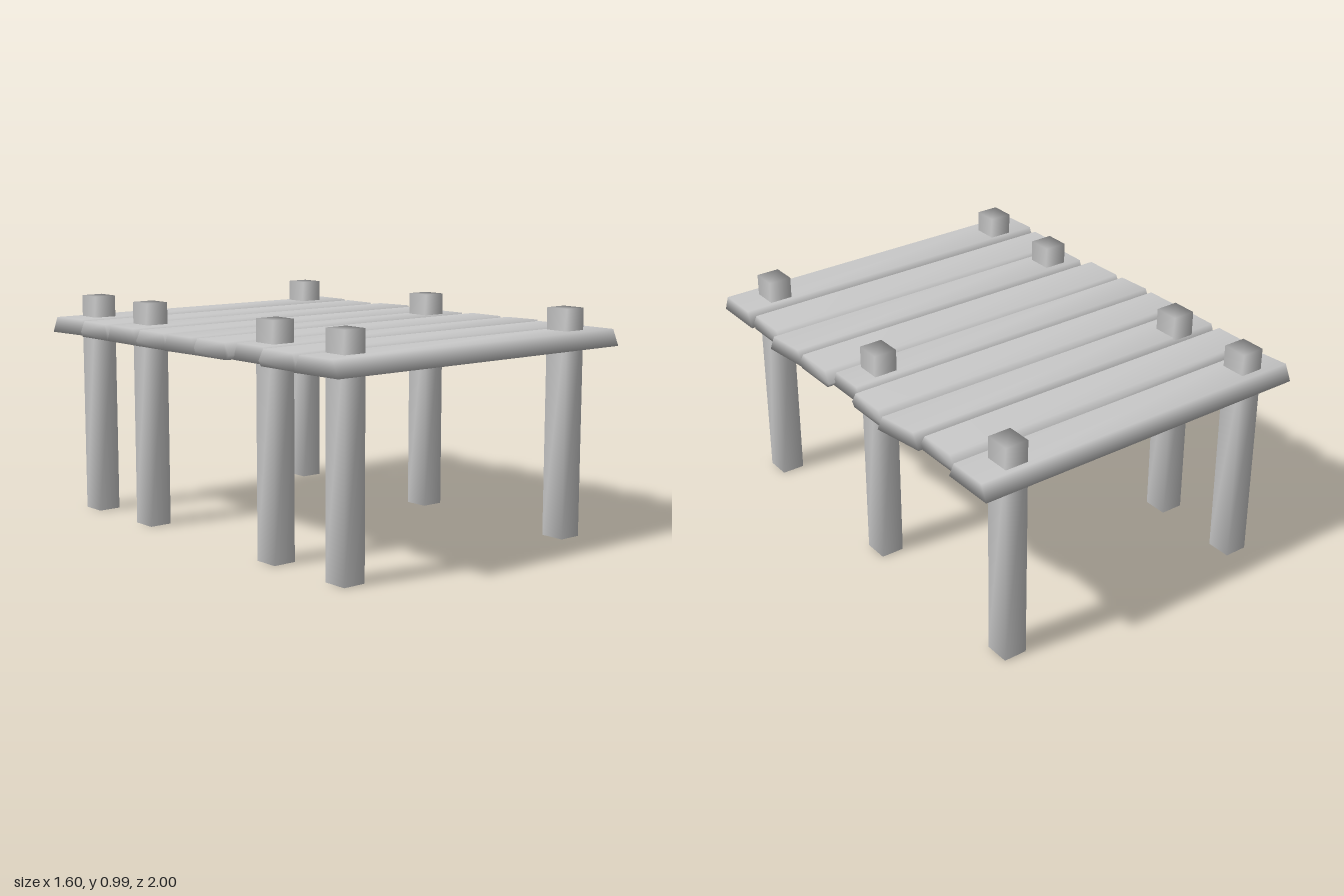
import * as THREE from 'three';
import { mergeVertices } from 'three/addons/utils/BufferGeometryUtils.js';

const material = new THREE.MeshStandardMaterial({ color: 0xcccccc });
const BOTTOM = 0.825, TOP = 0.895, HEIGHT = 0.99;

// Share corners so shading rolls softly around the edges
function soften(geometry) {
  geometry.deleteAttribute('normal');
  geometry.deleteAttribute('uv');
  const merged = mergeVertices(geometry, 1e-4);
  merged.computeVertexNormals();
  return merged;
}

// Plank with bevelled long edges; each end runs from its x at the back to its x at the front
function plankGeometry({ z, left, right, undercut }) {
  const [back, front] = z;
  const mid = (back + front) / 2, half = (front - back) / 2;
  const profile = [[-half + 0.03, TOP], [-half, undercut ? BOTTOM + 0.02 : BOTTOM]];
  if (undercut) profile.push([-half + 0.015, BOTTOM]);
  const mirrored = profile.map(([a, y]) => [-a, y]).reverse();
  const shape = new THREE.Shape([...profile, ...mirrored].map(([a, y]) => new THREE.Vector2(a, y)));

  const geometry = new THREE.ExtrudeGeometry(shape, { depth: 1, bevelEnabled: false });
  geometry.rotateY(Math.PI / 2);
  const p = geometry.attributes.position;
  for (let i = 0; i < p.count; i++) {
    const t = (p.getZ(i) + half) / (2 * half);
    const x0 = THREE.MathUtils.lerp(left[0], left[1], t);
    const x1 = THREE.MathUtils.lerp(right[0], right[1], t);
    p.setX(i, THREE.MathUtils.lerp(x0, x1, p.getX(i)));
    p.setZ(i, p.getZ(i) + mid);
  }
  return soften(geometry);
}

export function createModel() {
  const group = new THREE.Group();
  const add = (geometry, name) => {
    const mesh = new THREE.Mesh(geometry, material);
    mesh.name = name;
    group.add(mesh);
    return mesh;
  };

  // Deck planks, from back to front
  const planks = [
    { z: [-1, -0.763], left: [-0.8, -0.775], right: [0.77, 0.77] },
    { z: [-0.763, -0.535], left: [-0.8, -0.8], right: [0.745, 0.745] },
    { z: [-0.545, -0.312], left: [-0.8, -0.8], right: [0.762, 0.8] },
    { z: [-0.318, -0.092], left: [-0.8, -0.795], right: [0.78, 0.78] },
    { z: [-0.11, 0.105], left: [-0.803, -0.79], right: [0.75, 0.75] },
    { z: [0.085, 0.322], left: [-0.79, -0.785], right: [0.78, 0.78] },
    { z: [0.31, 0.538], left: [-0.755, -0.755], right: [0.775, 0.8] },
    { z: [0.52, 0.757], left: [-0.788, -0.788], right: [0.76, 0.76] },
    { z: [0.757, 1], left: [-0.803, -0.79], right: [0.77, 0.77] },
  ];
  planks.forEach((plank, i) => {
    add(plankGeometry({ ...plank, undercut: i % 2 === 1 }), `plank${i + 1}`);
  });

  // Square posts standing through the deck
  const posts = [
    [-0.628, -0.885], [-0.628, -0.465], [-0.628, 0.42], [-0.628, 0.85],
    [0.59, -0.893], [0.59, 0], [0.59, 0.858],
  ];
  const postGeometry = soften(new THREE.BoxGeometry(0.104, HEIGHT, 0.112));
  posts.forEach(([x, z], i) => {
    add(postGeometry, `post${i + 1}`).position.set(x, HEIGHT / 2, z);
  });

  return group;
}
